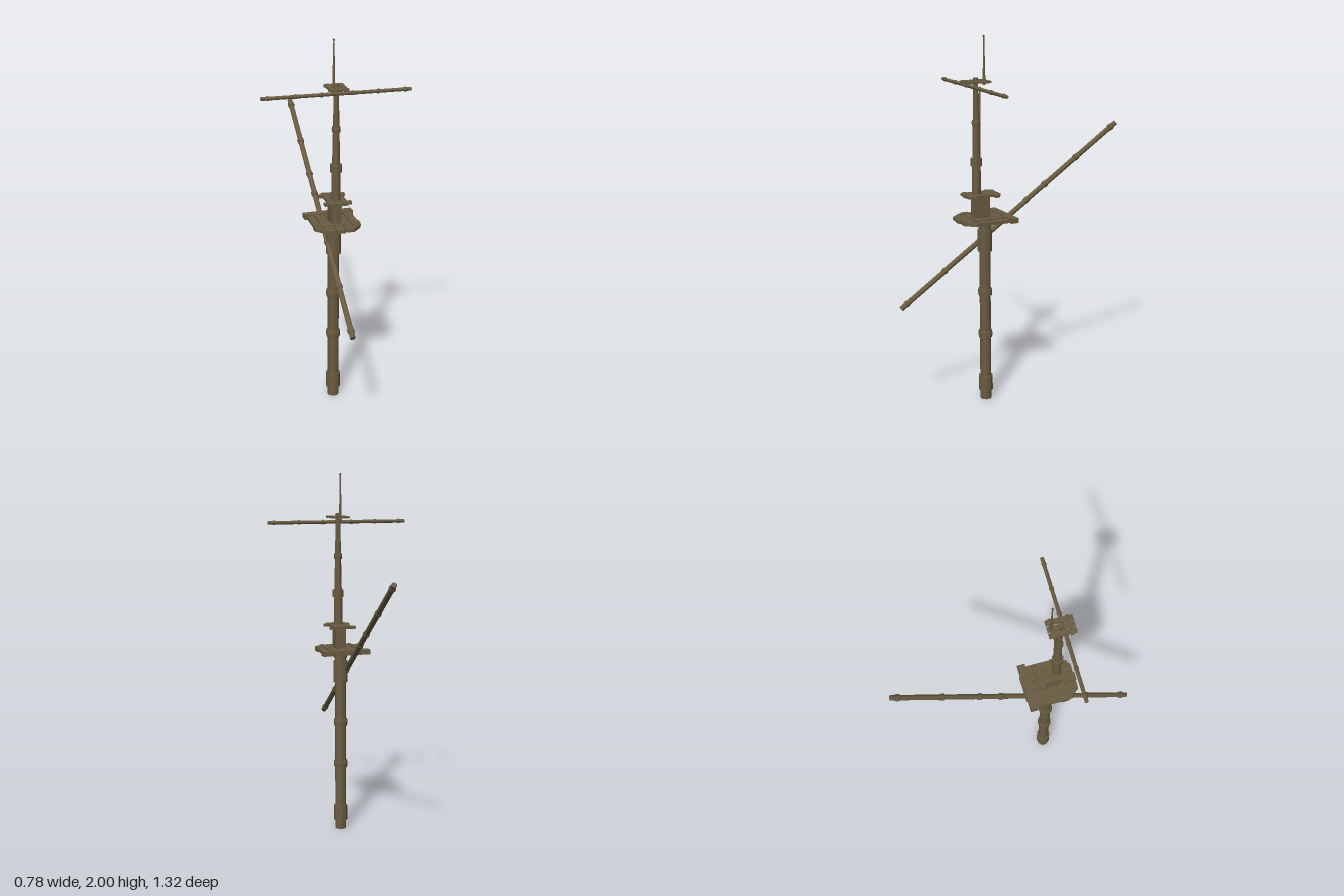
import * as THREE from 'three';

export function createModel() {
  const model = new THREE.Group();
  model.name = 'mast';
  const wood = new THREE.MeshStandardMaterial({ color: 0x6a5c42, flatShading: true });
  wood.name = 'weathered wood';

  const add = (parent, name, geometry, x = 0, y = 0, z = 0) => {
    const mesh = new THREE.Mesh(geometry, wood);
    mesh.name = name;
    mesh.position.set(x, y, z);
    parent.add(mesh);
    return mesh;
  };
  const box = (parent, name, w, h, d, x, y, z) => add(parent, name, new THREE.BoxGeometry(w, h, d), x, y, z);
  // Upright faceted pole between two heights
  const pole = (parent, name, y0, y1, r0, r1 = r0, z = 0, sides = 10) =>
    add(parent, name, new THREE.CylinderGeometry(r1, r0, y1 - y0, sides), 0, (y0 + y1) / 2, z);
  const group = (name, x, y, z) => {
    const g = new THREE.Group();
    g.name = name;
    g.position.set(x, y, z);
    model.add(g);
    return g;
  };

  // Lower mast with sleeves and slightly tilted rope bands
  const lower = group('lowerMast', 0, 0, 0.178);
  pole(lower, 'lowerPole', 0, 1.03, 0.031, 0.03);
  pole(lower, 'footSleeve', 0.05, 0.135, 0.039);
  pole(lower, 'headSleeve', 0.85, 0.97, 0.04);
  pole(lower, 'headRing', 0.985, 1.01, 0.037);
  for (const y of [0.38, 0.62]) {
    pole(lower, 'ropeBandLow', y - 0.02, y + 0.003, 0.037, 0.039).rotation.z = 0.06;
    pole(lower, 'ropeBandHigh', y + 0.001, y + 0.019, 0.039, 0.037).rotation.z = -0.06;
  }

  // Upper mast, stepped forward of the lower one
  const upper = group('upperMast', 0, 0, 0.224);
  pole(upper, 'upperPole', 1.03, 1.35, 0.025, 0.023);
  pole(upper, 'topPole', 1.34, 1.78, 0.021, 0.012);
  pole(upper, 'upperSleeve', 1.32, 1.36, 0.031);
  pole(upper, 'upperBandLow', 1.53, 1.546, 0.021, 0.023);
  pole(upper, 'upperBandHigh', 1.545, 1.56, 0.023, 0.021);
  box(upper, 'mastStep', 0.056, 0.13, 0.085, 0, 1.09, -0.022);

  // Main platform: lengthwise planks on cross beams, front corners cut off
  const main = group('mainPlatform', 0, 1.03, 0);
  for (const [x, w, z0, z1] of [[0, 0.044, 0.04, 0.335], [0.05, 0.044, 0.038, 0.328], [-0.05, 0.044, 0.04, 0.33]])
    box(main, 'deckPlank', w, 0.018, z1 - z0, x, 0, (z0 + z1) / 2);
  for (const s of [-1, 1]) {
    const shape = new THREE.Shape();
    [[0.074, 0.05], [0.12, 0.05], [0.12, 0.275], [0.074, 0.325]].forEach(([x, z], i) =>
      i ? shape.lineTo(s * x, z) : shape.moveTo(s * x, z));
    const plank = new THREE.ExtrudeGeometry(shape, { depth: 0.018, bevelEnabled: false });
    plank.rotateX(Math.PI / 2);
    add(main, 'cutCornerPlank', plank, 0, 0.009, 0);
    box(main, 'sideRail', 0.014, 0.02, 0.2, s * 0.079, 0.008, 0.185);
  }
  box(main, 'rearBeam', 0.268, 0.026, 0.042, 0, 0.002, 0.068).rotation.y = 0.03;
  box(main, 'frontBeam', 0.246, 0.026, 0.042, 0, 0, 0.243);

  // Middle platform
  const middle = group('middlePlatform', 0, 1.162, 0);
  for (const x of [-0.035, 0, 0.035])
    box(middle, 'middlePlank', 0.031, 0.014, 0.185, x, 0, 0.204 - Math.abs(x) * 0.1);
  for (const z of [0.135, 0.262])
    box(middle, 'middleBeam', 0.144, 0.014, 0.026, 0, -0.002, z);

  // Small top platform
  const top = group('topPlatform', 0, 1.76, 0);
  for (const x of [-0.034, 0, 0.034])
    box(top, 'topPlank', 0.027, 0.01, 0.138, x, 0, 0.225);
  for (const z of [0.18, 0.268])
    box(top, 'topBeam', 0.106, 0.01, 0.016, 0, -0.001, z);

  // Flagstaff with a small finial
  const staff = group('flagstaff', 0, 0, 0.176);
  pole(staff, 'staffPole', 1.74, 1.99, 0.008, 0.003, 0, 8);
  add(staff, 'staffFinial', new THREE.SphereGeometry(0.006, 8, 6), 0, 1.99, 0);
  const stay = add(model, 'sternBrace', new THREE.CylinderGeometry(0.005, 0.009, 0.38, 8), 0, 1.54, 0.204);
  stay.rotation.x = -0.02;

  // Yards: a spar along local y with end caps and paired rope bands
  const yard = (name, length, r, bands) => {
    const g = group(name, 0, 0, 0);
    pole(g, 'spar', -length / 2, length / 2, r, r, 0, 8);
    for (const b of bands) {
      pole(g, 'sparBandLow', b - r * 0.8, b + r * 0.1, r * 1.2, r * 1.35, 0, 8).rotation.z = 0.08;
      pole(g, 'sparBandHigh', b - r * 0.1, b + r * 0.8, r * 1.35, r * 1.2, 0, 8).rotation.z = -0.08;
    }
    return g;
  };
  const cross = yard('crossYard', 0.776, 0.0095, [-0.355, -0.215, -0.08, 0.08, 0.215, 0.355]);
  cross.rotation.z = -Math.PI / 2;
  cross.position.set(0, 1.732, 0.24);

  // Long slanting yard beside the lower mast, rising to the rear
  const slant = yard('slantingYard', 1.575, 0.0145, [-0.745, -0.48, -0.205, 0.113, 0.25, 0.485, 0.75]);
  slant.rotation.x = -Math.atan2(1.305, 0.894);
  slant.position.set(-0.031, 1.03, 0.004);

  return model;
}
